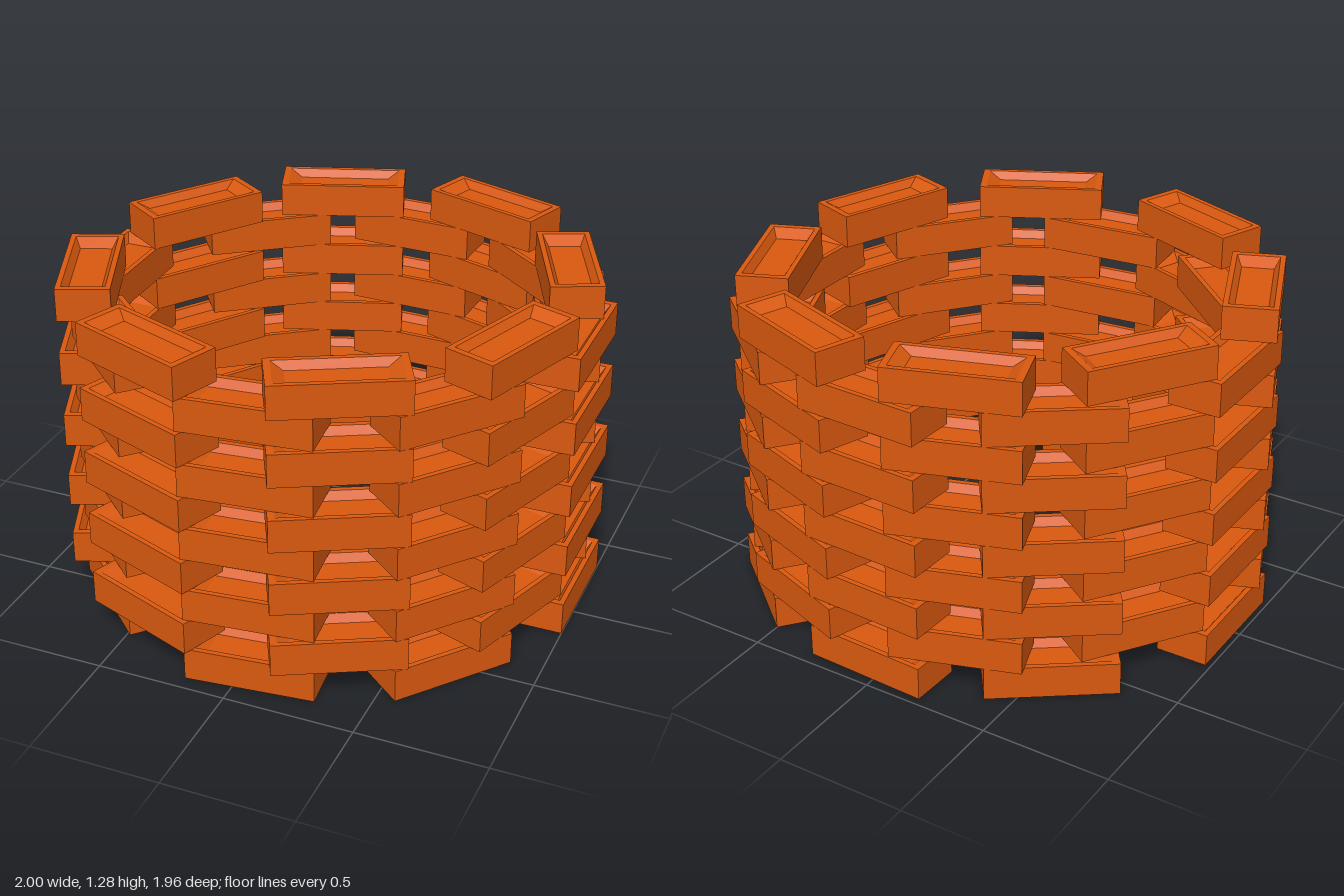
import * as THREE from 'three';

const COURSES = 10;
const HEIGHT = 1.285 / COURSES;

// Bricks of each course: centre x, centre z, direction the outer face points (degrees from +x towards +z)
const lowerRing = [
  [0.90, -0.09, 0], [0.648, 0.527, 39], [0.054, 0.82, 84], [-0.598, 0.546, 133],
  [-0.88, 0, 180], [-0.543, -0.623, 234], [0.033, -0.86, 272.4], [0.627, -0.652, 309],
];
const upperRing = [
  [0.795, 0.29, 19.4], [0.345, 0.77, 62.7], [-0.357, 0.79, 110.7], [-0.82, 0.33, 158],
  [-0.73, -0.365, 214], [-0.27, -0.785, 251], [0.365, -0.81, 289], [0.80, -0.37, 337],
];

// Brick with a sloped, sunken panel on top, lofted through rectangular rings
function brickGeometry() {
  const rings = [ // half length, half width, height
    [0.245, 0.1, 0],
    [0.245, 0.1, HEIGHT],
    [0.22, 0.08, HEIGHT],
    [0.175, 0.06, HEIGHT - 0.03],
  ].map(([l, w, y]) => [[1, 1], [1, -1], [-1, -1], [-1, 1]].map(([sx, sz]) => [sx * l, y, sz * w]));
  const pos = [];
  const quad = (a, b, c, d) => pos.push(...a, ...b, ...c, ...a, ...c, ...d);
  for (let r = 0; r < rings.length - 1; r++) {
    for (let i = 0; i < 4; i++) {
      const j = (i + 1) % 4;
      quad(rings[r][i], rings[r][j], rings[r + 1][j], rings[r + 1][i]);
    }
  }
  quad(...[...rings[0]].reverse()); // underside
  quad(...rings[rings.length - 1]); // panel floor
  const geo = new THREE.BufferGeometry();
  geo.setAttribute('position', new THREE.Float32BufferAttribute(pos, 3));
  geo.computeVertexNormals();
  return geo;
}

export function createModel() {
  const model = new THREE.Group();
  model.name = 'brickRing';
  const geo = brickGeometry();
  const mat = new THREE.MeshStandardMaterial({ color: 0xd9590f, flatShading: true });

  // Alternate the two staggered rings up the wall
  for (let c = 0; c < COURSES; c++) {
    const course = new THREE.Group();
    course.name = `course${c + 1}`;
    course.position.y = c * HEIGHT;
    for (const [x, z, angle] of c % 2 ? upperRing : lowerRing) {
      const brick = new THREE.Mesh(geo, mat);
      brick.name = 'brick';
      brick.position.set(x, 0, z);
      brick.rotation.y = THREE.MathUtils.degToRad(90 - angle);
      course.add(brick);
    }
    model.add(course);
  }
  return model;
}
